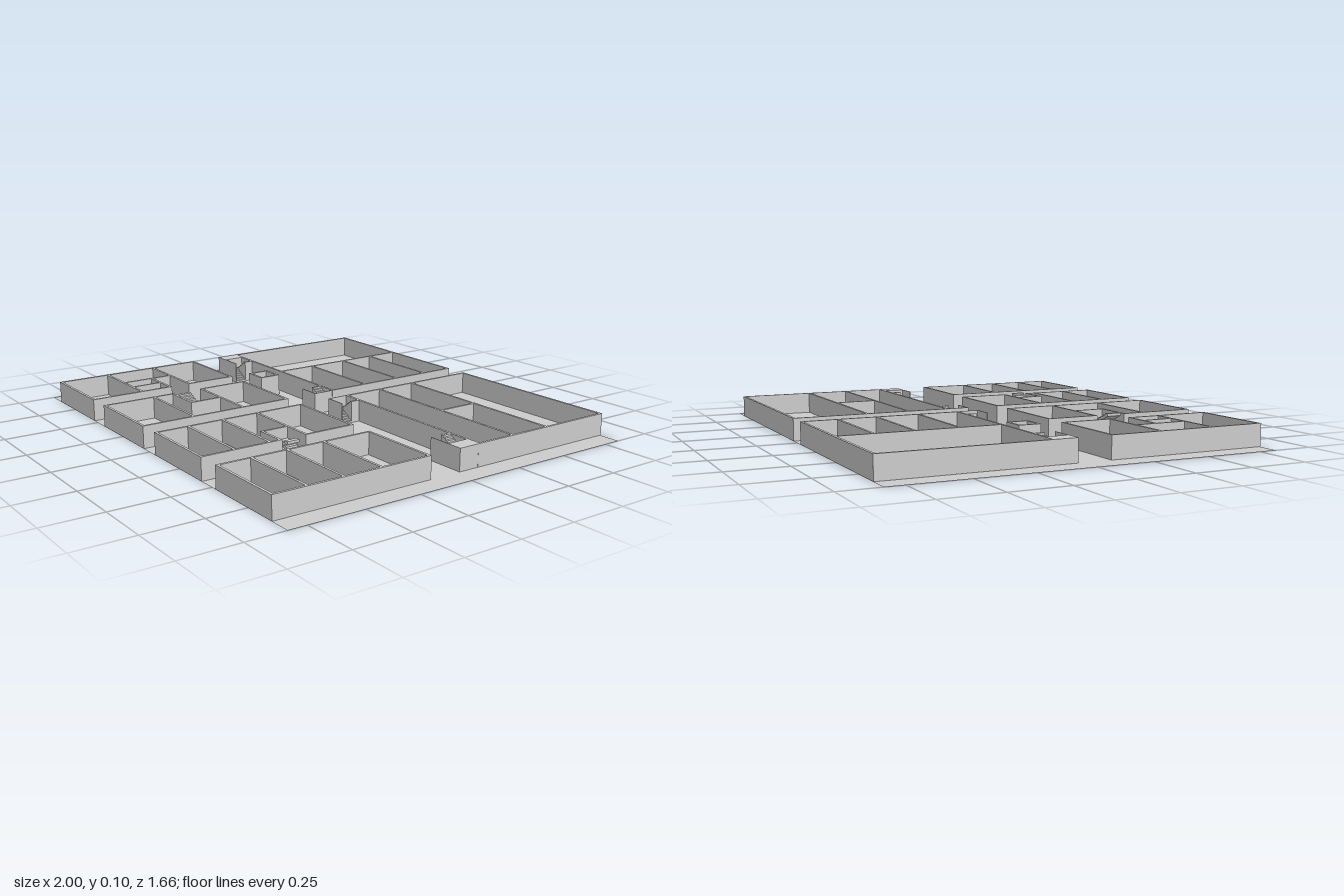
import * as THREE from 'three';

const H = 0.097; // wall height
const T = 0.011; // wall thickness
const Y0 = 0.001; // walls rest just above the ground sheet

export function createModel() {
  const root = new THREE.Group();
  const mat = new THREE.MeshStandardMaterial({ color: 0xcccccc, flatShading: true, side: THREE.DoubleSide });

  const group = (name) => {
    const g = new THREE.Group();
    g.name = name;
    root.add(g);
    return g;
  };
  const box = (parent, name, x0, x1, y0, y1, z0, z1) => {
    const m = new THREE.Mesh(new THREE.BoxGeometry(x1 - x0, y1 - y0, z1 - z0), mat);
    m.position.set((x0 + x1) / 2, (y0 + y1) / 2, (z0 + z1) / 2);
    m.name = name;
    parent.add(m);
  };
  // Walls by centre line: along x at a given z, or along z at a given x
  const wallX = (p, z, x0, x1, t = T) => box(p, 'wall', x0 - t / 2, x1 + t / 2, Y0, H, z - t / 2, z + t / 2);
  const wallZ = (p, x, z0, z1, t = T) => box(p, 'wall', x - t / 2, x + t / 2, Y0, H, z0 - t / 2, z1 + t / 2);

  // Stepped flight rising from xa to xb; solid to the ground or with a sloping soffit
  const flight = (p, xa, xb, ya, yb, z0, z1, solid) => {
    const n = 6, dx = (xb - xa) / n, dy = (yb - ya) / n;
    const s = new THREE.Shape();
    s.moveTo(xa, ya);
    for (let i = 0; i < n; i++) {
      s.lineTo(xa + i * dx, ya + (i + 1) * dy);
      s.lineTo(xa + (i + 1) * dx, ya + (i + 1) * dy);
    }
    if (solid) {
      s.lineTo(xb, Y0);
      if (ya > Y0) s.lineTo(xa, Y0);
    } else {
      s.lineTo(xb, yb - 1.4 * dy);
      s.lineTo(xa + dx * 1.4, ya);
    }
    const m = new THREE.Mesh(new THREE.ExtrudeGeometry(s, { depth: z1 - z0, bevelEnabled: false }), mat);
    m.position.z = z0;
    m.name = 'stairFlight';
    p.add(m);
  };
  // Two flights side by side joined by a half-height landing
  const stair = (name, xOpen, xTop, xLand, xBack, lower, upper, solid) => {
    const g = group(name), mid = H / 2;
    flight(g, xOpen, xLand, Y0, mid, ...lower, solid);
    flight(g, xLand, xTop, mid, H, ...upper, solid);
    box(g, 'landing', Math.min(xLand, xBack), Math.max(xLand, xBack), solid ? Y0 : mid - 0.01, mid,
      Math.min(lower[0], upper[0]), Math.max(lower[1], upper[1]));
    return g;
  };

  // Ground sheet
  const ground = new THREE.Mesh(new THREE.PlaneGeometry(2, 1.66), mat);
  ground.rotation.x = -Math.PI / 2;
  ground.name = 'ground';
  root.add(ground);

  // Rear left block
  const rl = group('rearLeftBlock');
  const rr = group('rearRightBlock');
  for (const [g, x0, x1] of [[rl, 0.055, 0.9], [rr, -0.9, -0.055]]) {
    for (const z of [-0.825, -0.125]) wallX(g, z, x0, x1);
    for (const x of [x0, x1]) wallZ(g, x, -0.825, -0.125);
  }
  for (const z of [-0.5, -0.31]) wallX(rl, z, 0.055, 0.9);
  wallZ(rl, 0.475, -0.5, -0.31);
  // Rear right block
  wallZ(rr, -0.48, -0.825, -0.125);
  for (const z of [-0.67, -0.5, -0.31]) wallX(rr, z, -0.48, -0.055);

  // Stair annexes, mirrored on both rear blocks
  const th = 0.004;
  for (const s of [1, -1]) {
    const g = group('stairAnnex');
    const span = (a, b, ...r) => box(g, 'annexWall', Math.min(s * a, s * b), Math.max(s * a, s * b), Y0, H, ...r);
    span(0.835, 0.905, -0.12, -0.025);
    span(0.735, 0.835, -0.025 - th, -0.025);
    span(0.05, 0.05 + th, -0.12, -0.025);
    span(0.05, 0.15, -0.025 - th, -0.025);
    const lower = [-0.079, -0.029], upper = [-0.12, -0.079];
    stair('outerStair', s * 0.735, s * 0.735, s * 0.81, s * 0.835, lower, upper, true);
    stair('innerStair', s * 0.15, s * 0.15, s * 0.08, s * 0.054, lower, upper, true);
  }

  // Lift shaft
  const lift = group('liftShaft');
  for (const z of [-0.073, 0.017]) wallX(lift, z, -0.529, -0.431);
  for (const x of [-0.529, -0.431]) wallZ(lift, x, -0.073, 0.017);

  // Front blocks: x range, cross walls, and spans of the two side walls
  const full = [[0.125, 0.825]];
  const blocks = [
    ['frontFarRightBlock', -0.9, -0.535, [0.125, 0.35, 0.59, 0.825], full, [[0.125, 0.35], [0.45, 0.825]]],
    ['frontNearRightBlock', -0.42, -0.055, [0.125, 0.35, 0.59, 0.825], [[0.125, 0.35], [0.5, 0.825]], full],
    ['frontNearLeftBlock', 0.055, 0.42, [0.125, 0.35, 0.52, 0.68, 0.825], full, [[0.125, 0.35], [0.475, 0.825]]],
    ['frontFarLeftBlock', 0.535, 0.9, [0.125, 0.35, 0.52, 0.68, 0.825], full, full],
  ].map(([name, x0, x1, cross, sideA, sideB]) => {
    const g = group(name);
    cross.forEach((z) => wallX(g, z, x0, x1));
    sideA.forEach(([a, b]) => wallZ(g, x0, a, b));
    sideB.forEach(([a, b]) => wallZ(g, x1, a, b));
    return g;
  });

  // Small rooms in the far right block
  wallZ(blocks[0], -0.722, 0.35, 0.59);
  wallX(blocks[0], 0.448, -0.722, -0.535);
  wallZ(blocks[0], -0.63, 0.448, 0.59);

  // Stairwells in the two middle blocks
  wallX(blocks[1], 0.495, -0.42, -0.247);
  wallZ(blocks[1], -0.247, 0.35, 0.495);
  stair('rightStair', -0.38, -0.4, -0.29, -0.253, [0.356, 0.423], [0.423, 0.489], false);
  wallX(blocks[2], 0.473, 0.287, 0.42);
  wallZ(blocks[2], 0.287, 0.35, 0.473);
  stair('leftStair', 0.44, 0.46, 0.335, 0.293, [0.356, 0.411], [0.411, 0.467], false);

  return root;
}
